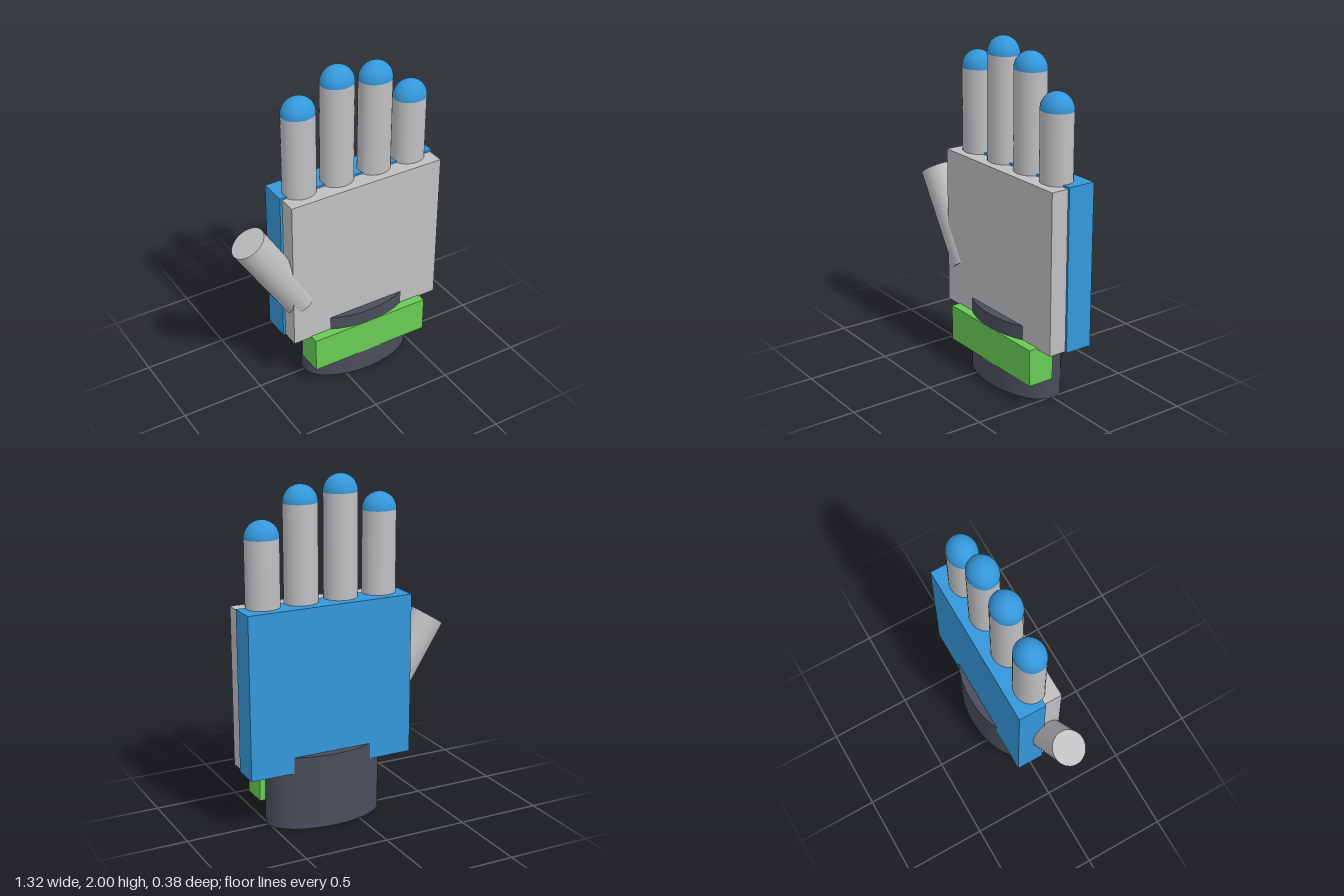
import * as THREE from 'three';

export function createModel() {
  const model = new THREE.Group();
  model.name = 'roboticHand';

  const material = (name, color) => {
    const m = new THREE.MeshStandardMaterial({ color });
    m.name = name;
    return m;
  };
  const grey = material('lightGrey', 0xc0bfc2);
  const blue = material('blue', 0x3498db);
  const green = material('green', 0x68cc55);
  const dark = material('darkSlate', 0x4a4e5b);

  const add = (name, geometry, mat, x, y, z) => {
    const mesh = new THREE.Mesh(geometry, mat);
    mesh.name = name;
    mesh.position.set(x, y, z);
    model.add(mesh);
    return mesh;
  };

  // Box given by its minimum and maximum corners
  const slab = (name, mat, [x0, y0, z0], [x1, y1, z1]) =>
    add(name, new THREE.BoxGeometry(x1 - x0, y1 - y0, z1 - z0), mat,
      (x0 + x1) / 2, (y0 + y1) / 2, (z0 + z1) / 2);

  // Upright cylinder with an elliptical section
  const ellipticCylinder = (rx, rz, height) =>
    new THREE.CylinderGeometry(1, 1, height, 32).scale(rx, 1, rz);

  // Palm, back plate and cuff
  slab('palm', grey, [-0.335, 0.35, 0.03], [0.65, 1.29, 0.135]);
  slab('backPlate', blue, [-0.348, 0.345, -0.138], [0.66, 1.3, 0.028]);
  slab('cuff', green, [-0.222, 0.14, 0.03], [0.54, 0.357, 0.19]);

  // Oval wrist
  add('wrist', ellipticCylinder(0.355, 0.189, 0.44), dark, 0.156, 0.22, 0);

  // Fingers with domed tips: [name, x, top of shaft]
  const base = 1.2;
  const fingers = [
    ['indexFinger', -0.21, 1.78],
    ['middleFinger', 0.034, 1.9],
    ['ringFinger', 0.28, 1.86],
    ['littleFinger', 0.512, 1.685],
  ];
  for (const [name, x, top] of fingers) {
    add(name, ellipticCylinder(0.1, 0.088, top - base), grey, x, (top + base) / 2, 0);
    const dome = new THREE.SphereGeometry(1, 32, 12, 0, Math.PI * 2, 0, Math.PI / 2);
    add(name + 'Tip', dome.scale(0.101, 0.1, 0.089), blue, x, top, 0);
  }

  // Thumb leaning outwards, sunk into the palm edge
  const thumb = add('thumb', ellipticCylinder(0.106, 0.095, 0.6), grey, -0.408, 0.848, 0.053);
  thumb.rotation.z = THREE.MathUtils.degToRad(32.3);

  return model;
}
